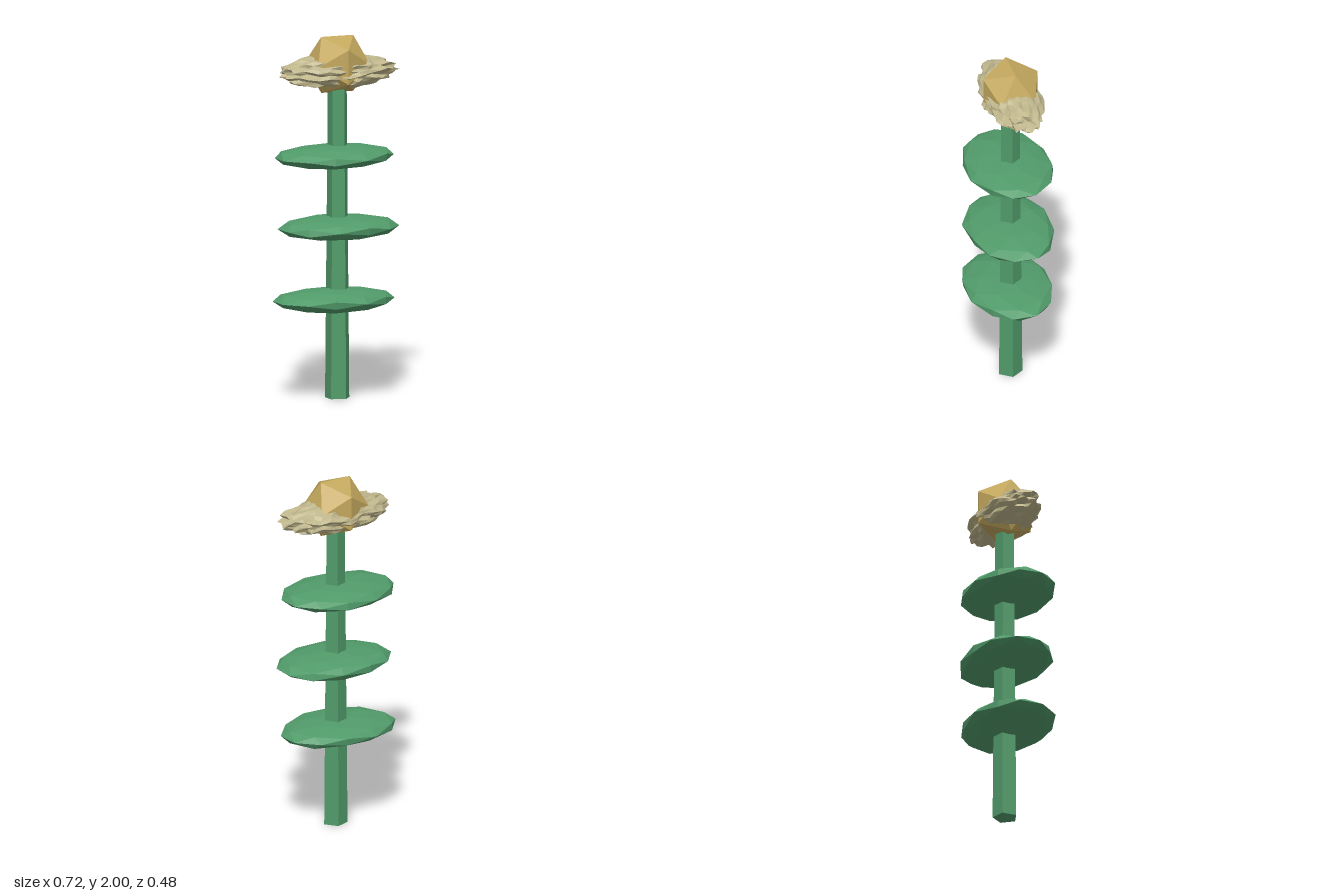
import * as THREE from 'three';

const material = (color) => new THREE.MeshStandardMaterial({ color, flatShading: true });

// Repeatable 0..1 value for a point, so shared corners move together
function hash(x, y, z) {
  const r = (v) => Math.round(v * 1000);
  const s = Math.sin(r(x) * 0.1271 + r(y) * 0.3117 + r(z) * 0.0747) * 43758.5453;
  return s - Math.floor(s);
}

// Faceted ball with each corner pushed along its radius by a random factor in [low, high]
function roughBall(detail, low, high, seed, turn = 0) {
  const geo = new THREE.IcosahedronGeometry(1, detail);
  const pos = geo.attributes.position;
  for (let i = 0; i < pos.count; i++) {
    const x = pos.getX(i), y = pos.getY(i), z = pos.getZ(i);
    const k = low + (high - low) * hash(x + seed, y + seed, z - seed);
    pos.setXYZ(i, x * k, y * k, z * k);
  }
  geo.rotateY(turn);
  return geo;
}

export function createModel() {
  const group = new THREE.Group();
  const green = material(0x519b6a);
  const tan = material(0xbfb68c);
  const gold = material(0xc4a85e);

  const add = (name, geo, mat, x, y, z) => {
    const mesh = new THREE.Mesh(geo, mat);
    mesh.name = name;
    mesh.position.set(x, y, z);
    group.add(mesh);
    return mesh;
  };

  // Five-sided tapering stem with one corner towards +x
  const stem = new THREE.CylinderGeometry(0.054, 0.07, 1.78, 5);
  stem.rotateY(Math.PI / 10);
  add('stem', stem, green, -0.009, 0.89, -0.005);

  // Three flat oval leaf discs
  const leaves = [[0.545, -0.03, 0.28], [0.943, -0.005, -0.28], [1.338, -0.033, 0.28]];
  leaves.forEach(([y, x, turn], i) => {
    const geo = roughBall(1, 0.97, 1.03, i * 0.3, turn);
    geo.scale(0.348, 0.065, 0.247);
    add('leafDisc' + (i + 1), geo, green, x, y, 0);
  });

  // Spiky oval ruff of petals
  const ruff = roughBall(5, 0.8, 1.05, 0.2);
  ruff.scale(0.352, 0.096, 0.165);
  add('petalRuff', ruff, tan, 0, 1.805, -0.01);

  // Faceted flower centre
  add('flowerCentre', new THREE.IcosahedronGeometry(0.182, 0), gold, -0.009, 1.845, -0.01);

  return group;
}
